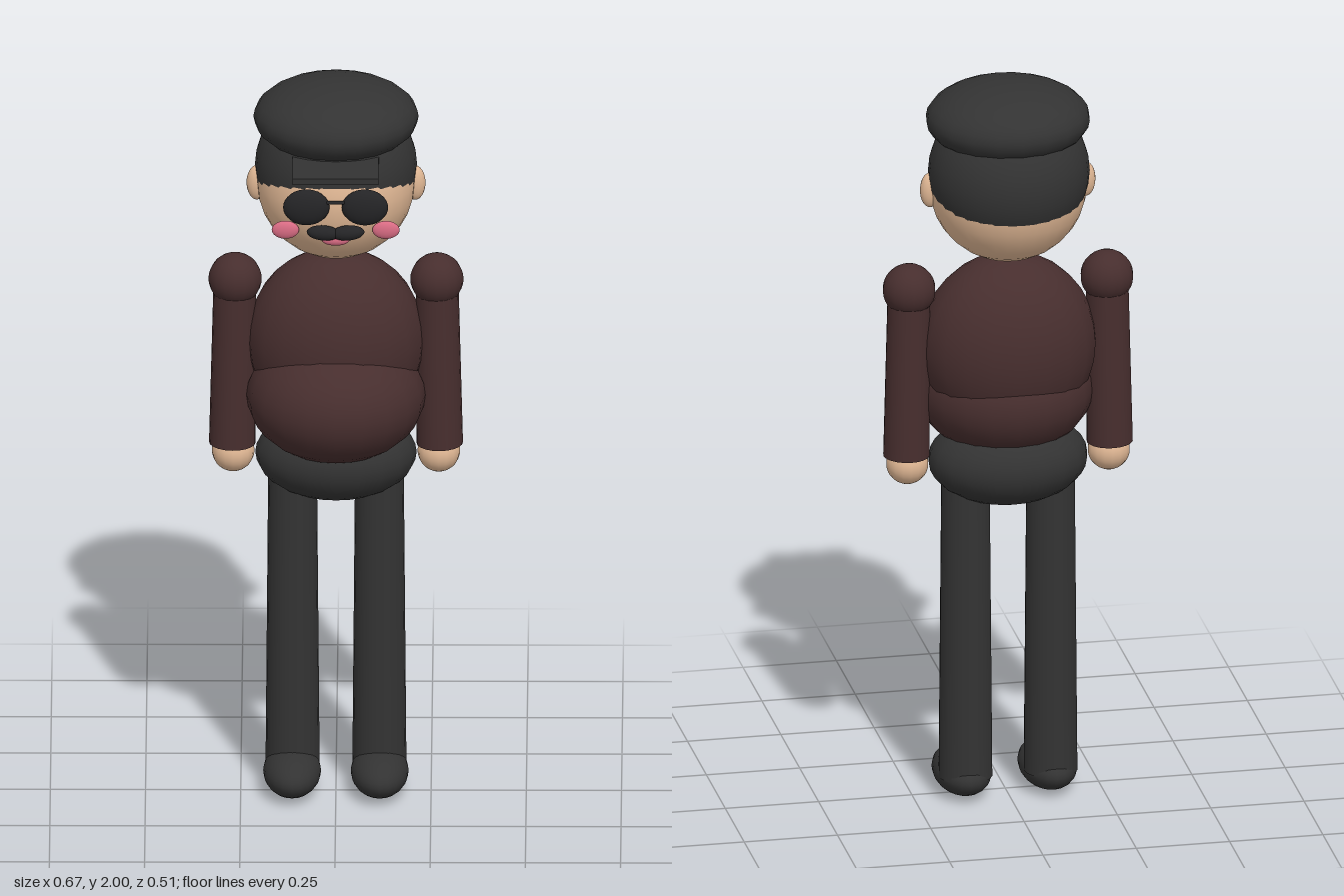
import * as THREE from 'three';

export function createModel() {
  const mat = (name, color) => {
    const m = new THREE.MeshStandardMaterial({ color });
    m.name = name;
    return m;
  };
  const skin = mat('skin', 0xe0b794);
  const sweater = mat('sweater brown', 0x472e2e);
  const cloth = mat('dark cloth', 0x333333);
  const glass = mat('dark glass', 0x242426);
  const pink = mat('pink', 0xd96c84);

  const model = new THREE.Group();
  model.name = 'man';
  const Z = -0.037; // body axis

  const add = (name, geometry, material, x, y, z) => {
    const mesh = new THREE.Mesh(geometry, material);
    mesh.name = name;
    mesh.position.set(x, y, z);
    model.add(mesh);
    return mesh;
  };
  const ball = (name, material, [x, y, z], [rx, ry, rz], seg = 20) => {
    const mesh = add(name, new THREE.SphereGeometry(1, seg, 16), material, x, y, z);
    mesh.scale.set(rx, ry, rz);
    return mesh;
  };

  // Head, hair and cap
  ball('head', skin, [0, 1.715, Z], [0.208, 0.205, 0.2], 32);
  ball('hair', cloth, [0, 1.757, -0.048], [0.213, 0.205, 0.204], 32);
  ball('capCrown', cloth, [0, 1.9, -0.035], [0.217, 0.1, 0.21]);
  add('capBrim', new THREE.BoxGeometry(0.226, 0.017, 0.17), cloth, 0, 1.832, 0.17);

  // Body
  ball('chest', sweater, [0, 1.268, Z], [0.235, 0.25, 0.178]);
  ball('belly', sweater, [0, 1.127, 0.011], [0.235, 0.172, 0.226]);
  ball('hips', cloth, [0, 0.947, -0.035], [0.212, 0.122, 0.165]);

  // Mouth and bridge of the glasses
  ball('mouth', pink, [0, 1.628, 0.158], [0.037, 0.016, 0.014], 16);
  add('glassesBridge', new THREE.CylinderGeometry(0.005, 0.005, 0.06, 8), glass, 0, 1.738, 0.172)
    .rotation.z = Math.PI / 2;

  // Paired parts, left then right
  for (const [side, s] of [['left', 1], ['right', -1]]) {
    ball(side + 'Ear', skin, [s * 0.208, 1.712, -0.033], [0.027, 0.048, 0.022], 16);
    ball(side + 'Lens', glass, [s * 0.077, 1.724, 0.168], [0.061, 0.05, 0.025], 16);
    ball(side + 'Moustache', glass, [s * 0.032, 1.652, 0.17], [0.044, 0.02, 0.02], 16)
      .rotation.z = s * 0.08;
    ball(side + 'Cheek', pink, [s * 0.132, 1.646, 0.134], [0.036, 0.025, 0.012], 16);

    // Arm, slightly flared towards the cuff
    ball(side + 'Shoulder', sweater, [s * 0.265, 1.437, Z], [0.07, 0.07, 0.07], 16);
    add(side + 'Arm', new THREE.CylinderGeometry(0.056, 0.061, 0.465, 20), sweater, s * 0.269, 1.205, Z)
      .rotation.z = s * 0.015;
    ball(side + 'Hand', skin, [s * 0.27, 0.95, Z], [0.056, 0.056, 0.056], 16);

    // Leg and shoe
    add(side + 'Leg', new THREE.CylinderGeometry(0.064, 0.071, 0.84, 20), cloth, s * 0.114, 0.48, Z);
    ball(side + 'Shoe', cloth, [s * 0.115, 0.06, 0.01], [0.076, 0.06, 0.13]);
  }
  return model;
}
